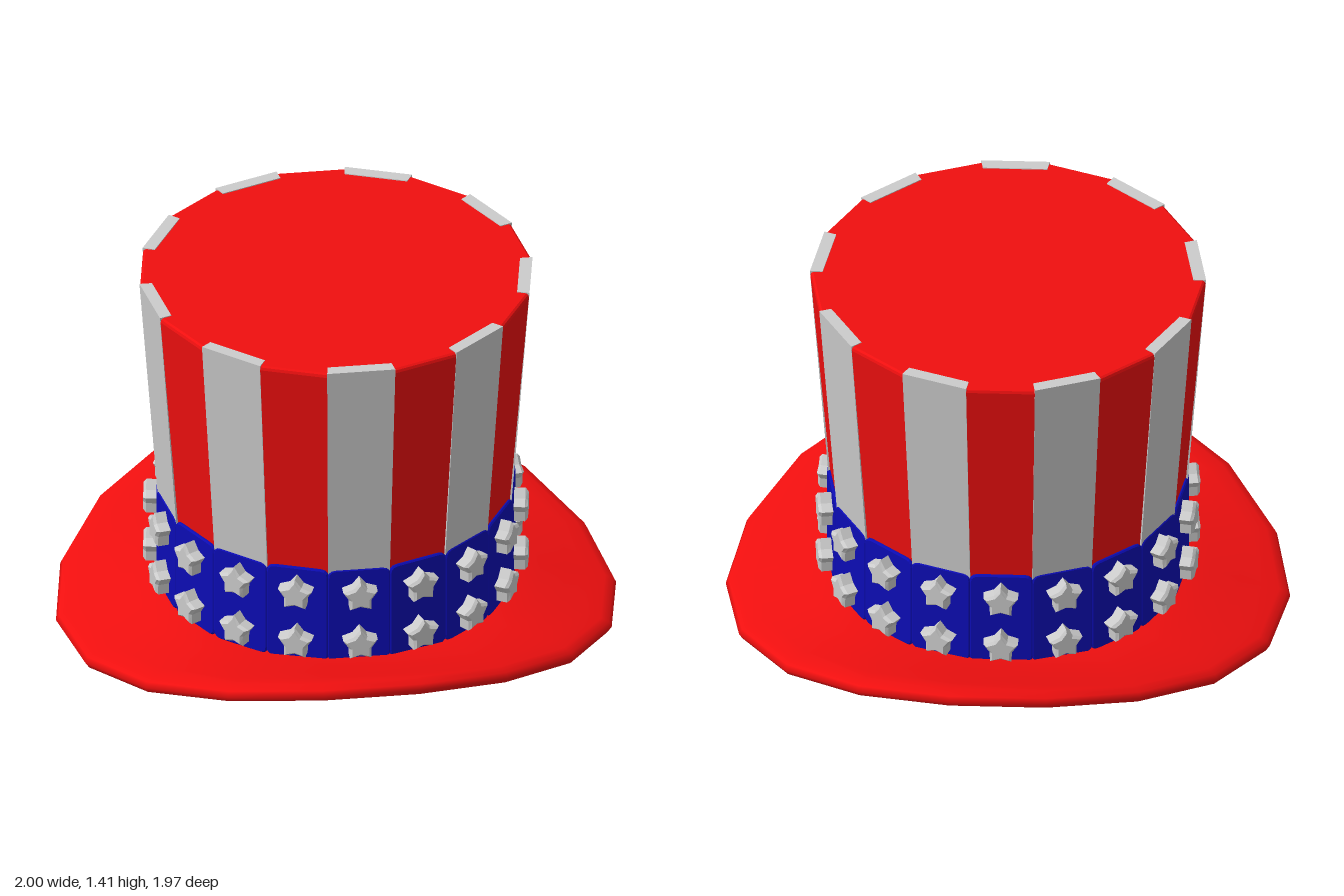
import * as THREE from 'three';
import { mergeVertices } from 'three/addons/utils/BufferGeometryUtils.js';

const SIDES = 18;
const STEP = (Math.PI * 2) / SIDES;
const RED = 0xf00f0f, BLUE = 0x0c0cb4, GREY = 0xcccccc;

const material = (color, flatShading = false) => new THREE.MeshStandardMaterial({ color, flatShading });

function addMesh(parent, name, geometry, mat) {
  const mesh = new THREE.Mesh(geometry, mat);
  mesh.name = name;
  parent.add(mesh);
  return mesh;
}

// 18-sided lathe with a flat side facing the front
function lathe(profile) {
  const points = profile.map(([r, y]) => new THREE.Vector2(r, y));
  return new THREE.LatheGeometry(points, SIDES, STEP / 2, Math.PI * 2);
}

// Brim: rounded ring whose outer part is bent into a slightly turned saddle
function brimGeometry() {
  let g = lathe([
    [0.55, 0.11], [0.64, 0.11], [0.73, 0.11], [0.82, 0.11], [0.9, 0.112], [0.95, 0.118],
    [0.985, 0.137], [1.0, 0.16], [0.99, 0.18], [0.96, 0.191],
    [0.9, 0.192], [0.82, 0.19], [0.73, 0.19], [0.64, 0.19], [0.55, 0.19],
    [0.532, 0.175], [0.53, 0.13], [0.55, 0.11],
  ]);
  const p = g.attributes.position;
  for (let i = 0; i < p.count; i++) {
    const x = p.getX(i), z = p.getZ(i);
    const t = Math.max(0, (Math.hypot(x, z) - 0.58) / 0.37);
    const bend = 0.11 * Math.min(1, Math.pow(t, 1.15));
    const angle = Math.atan2(x, z) - THREE.MathUtils.degToRad(20);
    p.setY(i, p.getY(i) + bend * Math.cos(2 * angle));
  }
  g.deleteAttribute('normal');
  g.deleteAttribute('uv');
  g = mergeVertices(g, 1e-4);
  g.computeVertexNormals();
  return g;
}

// One tapered stripe: a box wrapped onto a single side of the crown
function stripeGeometry() {
  const g = new THREE.BoxGeometry(1, 1, 1);
  const p = g.attributes.position;
  for (let i = 0; i < p.count; i++) {
    const h = p.getY(i) + 0.5;
    const r = THREE.MathUtils.lerp(0.637, 0.702, h) - (p.getZ(i) < 0 ? 0.045 : 0);
    const a = p.getX(i) * STEP;
    p.setXYZ(i, r * Math.sin(a), THREE.MathUtils.lerp(0.55, 1.423, h), r * Math.cos(a));
  }
  g.computeVertexNormals();
  return g;
}

// One band panel with rounded corners and a small bevel
function panelGeometry() {
  const w = 0.107, h = 0.183, c = 0.025;
  const s = new THREE.Shape();
  s.moveTo(-w + c, -h);
  s.lineTo(w - c, -h);
  s.quadraticCurveTo(w, -h, w, -h + c);
  s.lineTo(w, h - c);
  s.quadraticCurveTo(w, h, w - c, h);
  s.lineTo(-w + c, h);
  s.quadraticCurveTo(-w, h, -w, h - c);
  s.lineTo(-w, -h + c);
  s.quadraticCurveTo(-w, -h, -w + c, -h);
  return new THREE.ExtrudeGeometry(s, {
    depth: 0.03, bevelThickness: 0.005, bevelSize: 0.005, bevelSegments: 1, curveSegments: 3,
  });
}

// Chunky five-pointed star
function starGeometry() {
  const pts = [];
  for (let i = 0; i < 10; i++) {
    const r = i % 2 ? 0.032 : 0.052;
    const a = Math.PI / 2 + (i * Math.PI) / 5;
    pts.push(new THREE.Vector2(r * Math.cos(a), r * Math.sin(a)));
  }
  return new THREE.ExtrudeGeometry(new THREE.Shape(pts), {
    depth: 0.045, bevelThickness: 0.01, bevelSize: 0.009, bevelSegments: 1,
  });
}

export function createModel() {
  const hat = new THREE.Group();
  hat.name = 'topHat';

  addMesh(hat, 'brim', brimGeometry(), material(RED));

  // Crown shell and its inside
  addMesh(hat, 'crown',
    lathe([[0.62, 0.16], [0.63, 0.55], [0.7, 1.405], [0.697, 1.415], [0.69, 1.42], [0, 1.42]]),
    material(RED, true));
  addMesh(hat, 'lining', lathe([[0, 1.37], [0.64, 1.37], [0.64, 1.37], [0.545, 0.13]]), material(GREY));

  // Pale stripes on every second side
  const stripes = new THREE.Group();
  stripes.name = 'stripes';
  const stripe = stripeGeometry(), stripeMat = material(GREY, true);
  for (let i = 1; i < SIDES; i += 2) addMesh(stripes, 'stripe', stripe, stripeMat).rotation.y = i * STEP;
  hat.add(stripes);

  // Band panels, each with two stars
  const band = new THREE.Group();
  band.name = 'band';
  const panel = panelGeometry(), star = starGeometry();
  const panelMat = material(BLUE, true), starMat = material(GREY, true);
  for (let i = 0; i < SIDES; i++) {
    const side = new THREE.Group();
    side.name = 'bandSide';
    side.rotation.y = i * STEP;
    addMesh(side, 'bandPanel', panel, panelMat).position.set(0, 0.378, 0.597);
    for (const y of [0.275, 0.475]) addMesh(side, 'star', star, starMat).position.set(0, y, 0.627);
    band.add(side);
  }
  hat.add(band);

  return hat;
}
